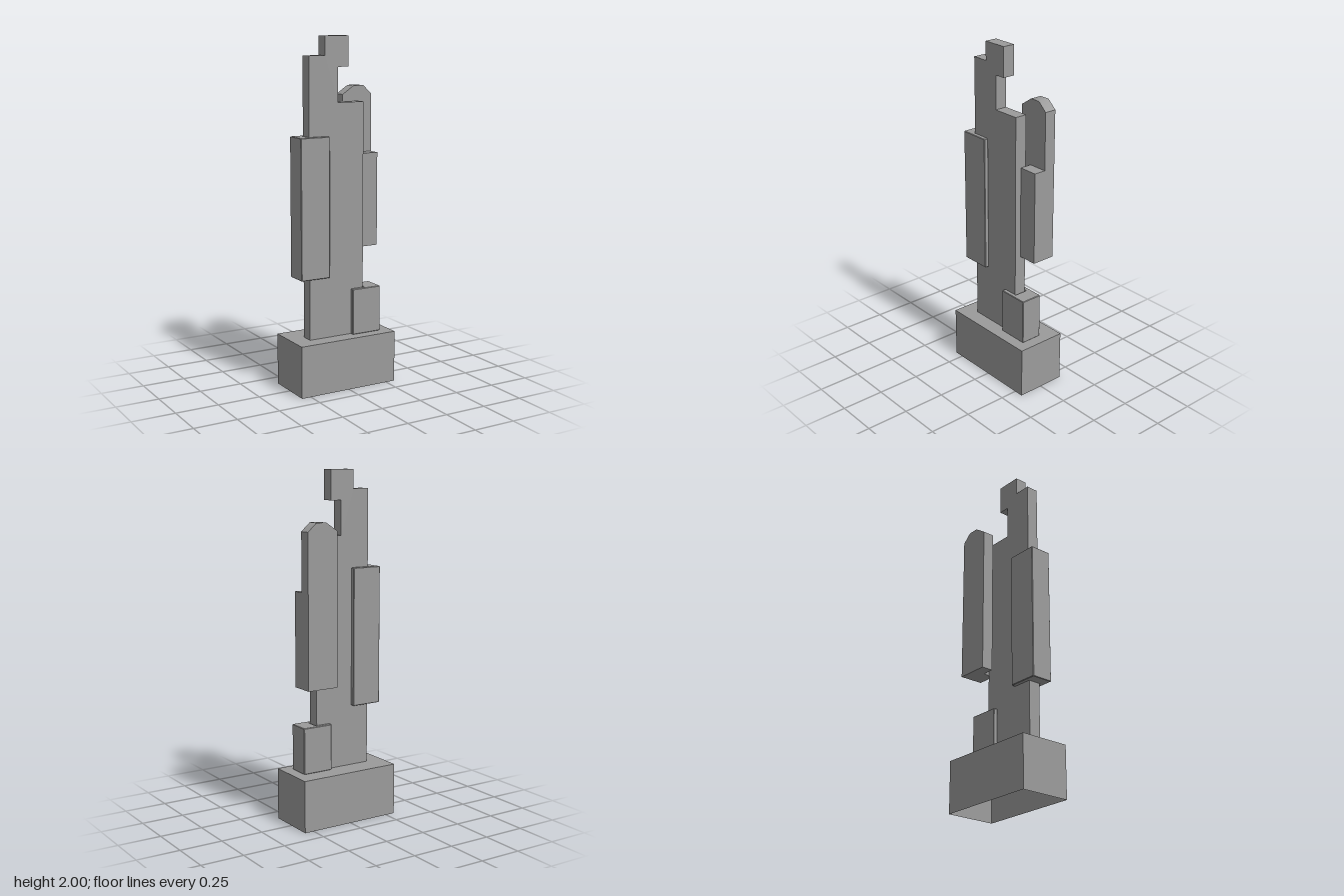
import * as THREE from 'three';
import { toCreasedNormals } from 'three/addons/utils/BufferGeometryUtils.js';

const material = new THREE.MeshStandardMaterial({ color: 0x9b9b9b });

function add(group, name, geometry, mat = material) {
  const mesh = new THREE.Mesh(geometry, mat);
  mesh.name = name;
  group.add(mesh);
}

const toShape = (points) => new THREE.Shape(points.map(([x, y]) => new THREE.Vector2(x, y)));

// Front outline given depth from z0 to z1
function plate(points, z0, z1) {
  return new THREE.ExtrudeGeometry(toShape(points), { depth: z1 - z0, bevelEnabled: false })
    .translate(0, 0, z0);
}

// Cuts every corner of a closed outline by a small distance
function chamfer(points, size) {
  const result = [];
  points.forEach((p, i) => {
    const corner = new THREE.Vector2(...p);
    for (const step of [points.length - 1, 1]) {
      const next = new THREE.Vector2(...points[(i + step) % points.length]);
      const q = next.sub(corner).setLength(size).add(corner);
      result.push([q.x, q.y]);
    }
  });
  return result;
}

// Upright U-shaped channel with softened edges: solid web at xBack, open towards xOpen
function channel(xBack, xWeb, xOpen, y0, y1) {
  const edge = 0.003;
  const outline = [
    [xBack, -0.042], [xOpen, -0.042], [xOpen, -0.015], [xWeb, -0.015],
    [xWeb, 0.061], [xOpen, 0.061], [xOpen, 0.087], [xBack, 0.087],
  ];
  return new THREE.ExtrudeGeometry(toShape(chamfer(outline, edge)), {
    depth: y1 - y0 - 2 * edge,
    bevelSize: edge, bevelThickness: edge, bevelOffset: -edge, bevelSegments: 1,
  }).rotateX(Math.PI / 2).translate(0, y1 - edge, 0);
}

export function createModel() {
  const group = new THREE.Group();

  // Hollow base, open underneath
  const base = new THREE.BoxGeometry(0.612, 0.3, 0.298).translate(0, 0.15, 0);
  const index = Array.from(base.index.array);
  index.splice(18, 6);
  base.setIndex(index);
  base.clearGroups();
  const shell = material.clone();
  shell.side = THREE.DoubleSide;
  add(group, 'base', base, shell);

  // Tall key-like slab with a hooked top
  add(group, 'body', plate([
    [-0.205, 0.3], [0.142, 0.3], [0.142, 1.635], [-0.023, 1.635], [-0.023, 1.83],
    [0.043, 1.83], [0.043, 2], [-0.106, 2], [-0.106, 1.893], [-0.205, 1.893],
  ], -0.013, 0.059));

  // Channels gripping the slab edges
  add(group, 'sideChannel', channel(-0.271, -0.207, -0.09, 0.655, 1.452));
  add(group, 'footChannel', channel(0.243, 0.15, 0.06, 0.3, 0.568));

  // Rear panel with a softly shaded crown, and the block joining it to the slab edge
  const panel = plate([
    [0.07, 0.797], [0.259, 0.797], [0.259, 1.67], [0.205, 1.718], [0.142, 1.718], [0.07, 1.67],
  ], -0.117, -0.048);
  add(group, 'rearPanel', toCreasedNormals(panel, Math.PI / 4));
  add(group, 'joiningBlock', plate([
    [0.143, 0.797], [0.259, 0.797], [0.259, 1.338], [0.143, 1.338],
  ], -0.048, 0.022));

  return group;
}
